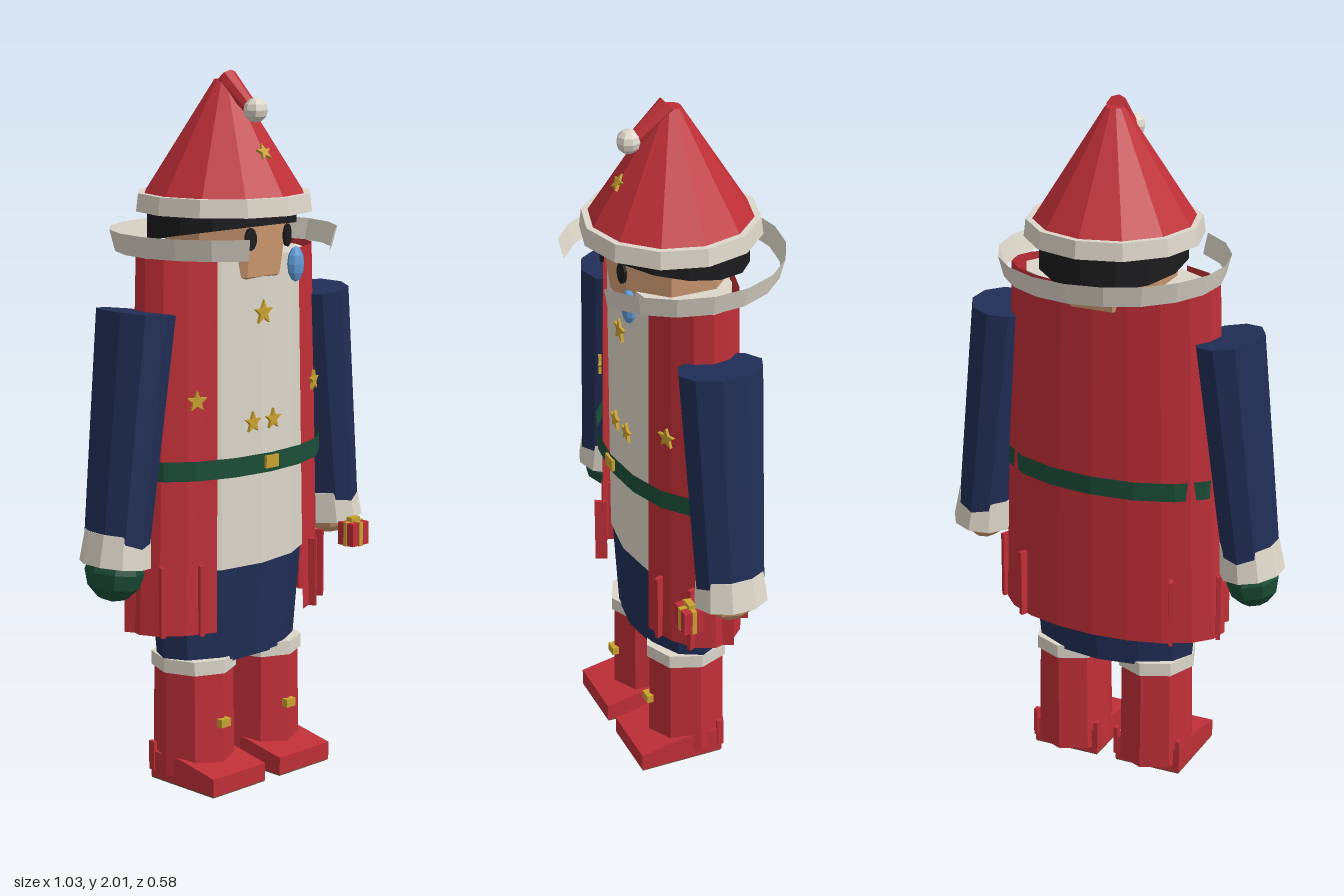
import * as THREE from 'three';

const mat = (name, color, side = THREE.FrontSide) => {
  const m = new THREE.MeshStandardMaterial({ color, side });
  m.name = name;
  return m;
};

export function createModel() {
  const D = THREE.DoubleSide;
  const red = mat('red', 0xbf2f38, D), cream = mat('cream', 0xddd7ca, D), navy = mat('navy', 0x212e56, D);
  const green = mat('green', 0x1b4d38, D), gold = mat('gold', 0xc9a230), skin = mat('skin', 0xd09c74);
  const black = mat('black', 0x1c1c1e, D), blue = mat('blue', 0x5f9bd6), brown = mat('brown', 0x6b5640);

  const model = new THREE.Group();
  model.name = 'gnomeFigure';

  // Faceted mesh: split vertices so every face has its own normal
  function add(parent, name, geo, material, x = 0, y = 0, z = 0) {
    const g = geo.index ? geo.toNonIndexed() : geo;
    g.computeVertexNormals();
    const mesh = new THREE.Mesh(g, material);
    mesh.name = name;
    mesh.position.set(x, y, z);
    parent.add(mesh);
    return mesh;
  }
  // Elliptical band from y0 to y1 with a front gap of half-angle "gap"
  function band(y0, y1, rBottom, rTop, depth, sides, gap = 0, open = false) {
    return new THREE.CylinderGeometry(rTop, rBottom, y1 - y0, sides, 1, open, gap, Math.PI * 2 - gap * 2)
      .scale(1, 1, depth).translate(0, (y0 + y1) / 2, 0);
  }
  const box = (w, h, d) => new THREE.BoxGeometry(w, h, d);
  function star(r) {
    const s = new THREE.Shape();
    for (let i = 0; i < 10; i++) {
      const a = Math.PI / 2 + i * Math.PI / 5, q = i % 2 ? r * 0.42 : r;
      s[i ? 'lineTo' : 'moveTo'](Math.cos(a) * q, Math.sin(a) * q);
    }
    return new THREE.ExtrudeGeometry(s, { depth: 0.009, bevelEnabled: false });
  }

  // Torso, trousers, open coat and belt
  add(model, 'shirt', band(0.63, 1.5, 0.28, 0.28, 0.52, 12), cream, 0, 0, 0.015);
  add(model, 'trousers', band(0.36, 0.63, 0.245, 0.272, 0.52, 12), navy, 0, 0, 0.015);
  add(model, 'trouserFront', box(0.18, 0.06, 0.2), navy, 0, 0.38, 0.02);
  add(model, 'coat', band(0.46, 1.51, 0.345, 0.315, 0.485, 16, 0.53, true), red, 0, 0, 0.012);
  add(model, 'belt', band(0.9, 0.955, 0.337, 0.337, 0.52, 16, 0, true), green, 0, 0, 0.02);
  add(model, 'beltBuckle', box(0.05, 0.035, 0.012), gold, 0, 0.93, 0.196);

  // Thin upright pleats around the coat hem
  for (const s of [-1, 1]) for (const a of [0.7, 1.15, 1.75, 2.4]) {
    const p = add(model, 'coatPleat', box(0.012, 0.2, 0.035), red,
      s * 0.345 * Math.sin(a), 0.56, 0.012 + 0.168 * Math.cos(a));
    p.rotation.y = s * (a < 1.57 ? 0.45 : -0.45);
  }

  // Stars: x, y, z, radius, turn
  for (const [x, y, z, r, turn] of [[0, 1.345, 0.158, 0.036, 0], [-0.04, 1.04, 0.158, 0.031, 0],
    [0.04, 1.04, 0.158, 0.031, 0], [-0.225, 1.12, 0.128, 0.031, -0.4], [0.24, 1.12, 0.124, 0.031, 0.4]]) {
    add(model, 'coatStar', star(r), gold, x, y, z).rotation.y = turn;
  }

  // Wide stand-off collar, open at the front
  add(model, 'collar', band(1.51, 1.57, 0.312, 0.328, 0.95, 16, 0.53, true), cream, 0, 0, 0.005);

  // Head, eyes, cheek drop
  const headProfile = [[0, 1.38], [0.06, 1.393], [0.165, 1.447], [0.186, 1.6], [0.18, 1.64], [0, 1.64]]
    .map(([r, y]) => new THREE.Vector2(r, y));
  add(model, 'head', new THREE.LatheGeometry(headProfile, 8).rotateY(Math.PI / 8), skin, 0, 0, 0.01);
  for (const s of [-1, 1]) {
    add(model, 'eye', new THREE.CylinderGeometry(0.018, 0.018, 0.009, 10).rotateX(Math.PI / 2).scale(1, 1.75, 1),
      black, s * 0.072, 1.556, 0.183).rotation.y = s * 0.25;
  }
  add(model, 'cheekDrop', new THREE.SphereGeometry(1, 8, 6).scale(0.028, 0.05, 0.02), blue, 0.11, 1.472, 0.18);

  // Hair band whose lower rim drops toward the back
  const hair = band(1.5, 1.63, 0.212, 0.212, 0.98, 14, 0, true), hp = hair.attributes.position;
  for (let i = 0; i < hp.count; i++) {
    if (hp.getY(i) < 1.55) hp.setY(i, 1.558 + hp.getZ(i) * 0.17);
  }
  add(model, 'hair', hair, black);

  // Hat with folded tip and bobble
  add(model, 'hatCone', band(1.66, 1.98, 0.234, 0.028, 1, 12), red, 0, 0, 0.008);
  add(model, 'hatBrim', band(1.62, 1.67, 0.252, 0.246, 1, 12), cream, 0, 0, 0.008);
  const tip = add(model, 'hatTip', new THREE.CylinderGeometry(0.03, 0.02, 0.13, 8), red, 0, 1.942, 0.066);
  tip.rotation.x = -0.88;
  add(model, 'hatBobble', new THREE.SphereGeometry(0.034, 8, 6), cream, 0, 1.9, 0.13);
  add(model, 'hatStar', star(0.026), gold, 0, 1.785, 0.158).rotation.x = -0.57;

  // Arms, cuffs and hands
  for (const s of [-1, 1]) {
    const arm = new THREE.Group();
    arm.name = s > 0 ? 'leftArm' : 'rightArm';
    arm.position.set(s * 0.345, 1.368, 0.016);
    arm.rotation.z = s * 0.12;
    model.add(arm);
    add(arm, 'sleeve', band(-0.64, 0, 0.08, 0.096, 1.27, 10), navy);
    add(arm, 'cuff', band(-0.695, -0.605, 0.092, 0.084, 1.17, 10), cream);
    if (s < 0) add(arm, 'mitten', new THREE.SphereGeometry(1, 8, 6).scale(0.078, 0.085, 0.088), green, 0, -0.715, 0);
    else add(arm, 'hand', new THREE.SphereGeometry(1, 8, 6).scale(0.066, 0.06, 0.075), skin, 0, -0.69, 0);
  }

  // Small wrapped gift in the left hand
  const gift = new THREE.Group();
  gift.name = 'gift';
  gift.position.set(0.412, 0.642, 0.134);
  model.add(gift);
  add(gift, 'giftBox', box(0.068, 0.068, 0.06), red);
  add(gift, 'ribbonFrontToBack', box(0.014, 0.072, 0.064), gold);
  add(gift, 'ribbonAcross', box(0.072, 0.072, 0.013), gold);
  add(gift, 'ribbonBow', box(0.036, 0.016, 0.02), gold, 0, 0.04, 0);

  // Boots with cuffs, wedge feet, soles and buckles
  const footSide = new THREE.Shape([[-0.05, 0.004], [0.205, 0.004], [0.205, 0.055], [0.07, 0.08], [-0.05, 0.08]]
    .map(([z, y]) => new THREE.Vector2(z, y)));
  for (const s of [-1, 1]) {
    const boot = new THREE.Group();
    boot.name = s > 0 ? 'leftBoot' : 'rightBoot';
    boot.position.x = s * 0.133;
    model.add(boot);
    add(boot, 'bootShaft', band(0.025, 0.335, 0.112, 0.108, 1.08, 8), red, 0, 0, 0.02);
    add(boot, 'bootCuff', band(0.33, 0.37, 0.116, 0.116, 1.08, 8), cream, 0, 0, 0.02);
    add(boot, 'foot', new THREE.ExtrudeGeometry(footSide, { depth: 0.205, bevelEnabled: false })
      .translate(0, 0, -0.1025).rotateY(-Math.PI / 2), red);
    add(boot, 'sole', box(0.203, 0.006, 0.252), brown, 0, 0.003, 0.0775);
    add(boot, 'bootBuckle', box(0.036, 0.024, 0.02), gold, 0, 0.185, 0.142);
    for (const side of [-1, 1]) add(boot, 'heelTab', box(0.012, 0.085, 0.02), red, side * 0.1, 0.067, -0.045);
  }
  return model;
}
